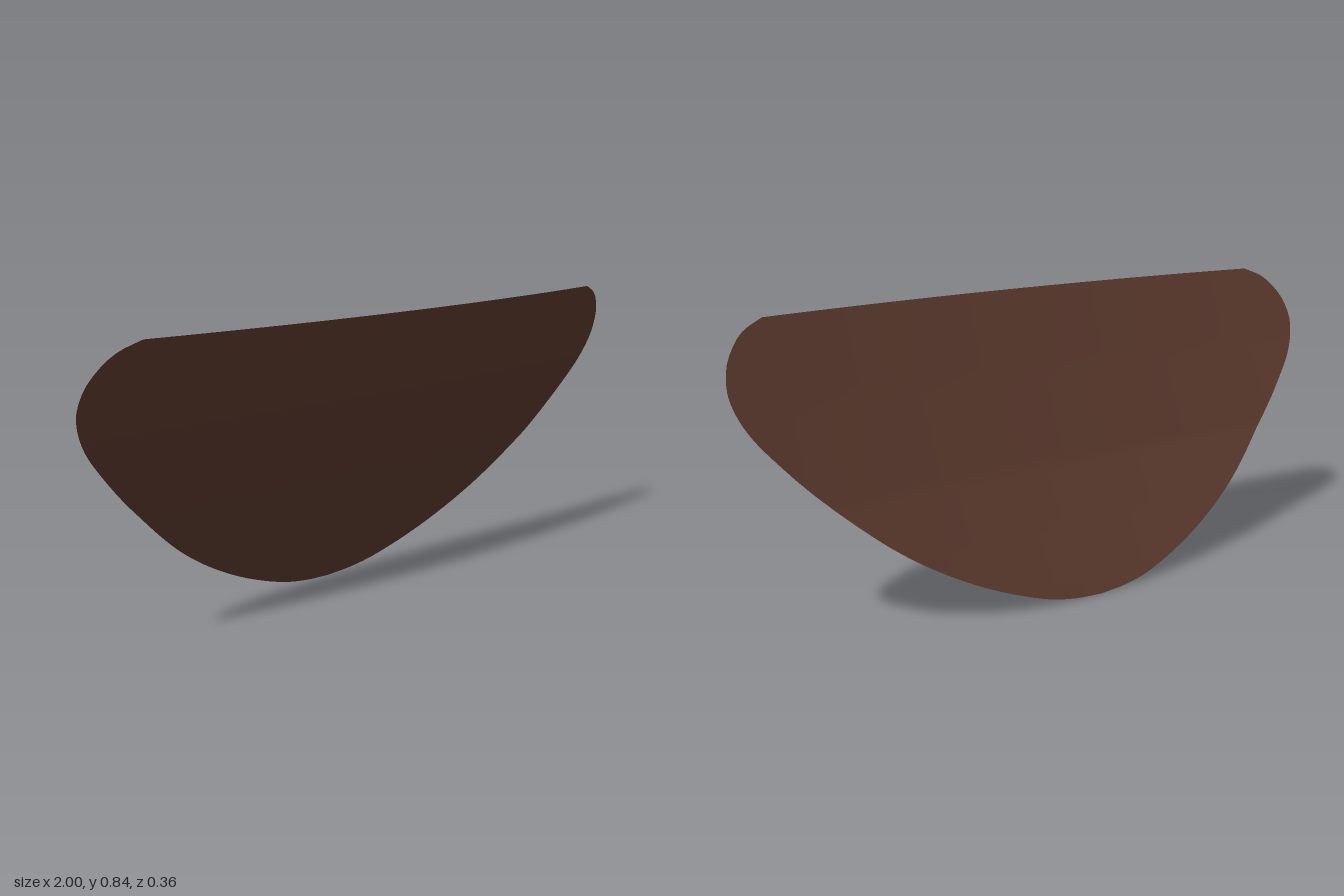
import * as THREE from 'three';

// Half outline from the bottom tip up to the flat top edge: [half width, height]
const OUTLINE = [
  [0, 0.003], [0.1, 0.01], [0.2, 0.03], [0.4, 0.105], [0.6, 0.22], [0.8, 0.39],
  [0.9, 0.495], [0.96, 0.57], [0.99, 0.63], [1, 0.68], [0.988, 0.74],
  [0.955, 0.79], [0.92, 0.82], [0.86, 0.845],
];

// Forward lean along the centre line: [height, z]
const LEAN = [[0, -0.182], [0.05, -0.157], [0.2, -0.08], [0.36, 0], [0.62, 0.1], [0.845, 0.18]];

function leanAt(y) {
  let i = 1;
  while (i < LEAN.length - 1 && y > LEAN[i][0]) i++;
  const [y0, z0] = LEAN[i - 1], [y1, z1] = LEAN[i];
  return z0 + (z1 - z0) * (y - y0) / (y1 - y0);
}

// Curved sheet: rows across the outline, bowed back towards both sides
function sheetGeometry(rows = 64, columns = 40) {
  const curve = new THREE.CatmullRomCurve3(
    OUTLINE.map(([x, y]) => new THREE.Vector3(x, y, 0)), false, 'centripetal');
  const geometry = new THREE.PlaneGeometry(2, 1, columns, rows);
  const position = geometry.attributes.position;
  for (let r = 0; r <= rows; r++) {
    // Plane rows run from the top down
    const edge = curve.getPointAt(1 - r / rows);
    const y = Math.min(edge.y, 0.845);
    for (let c = 0; c <= columns; c++) {
      const x = edge.x * (2 * c / columns - 1);
      position.setXYZ(r * (columns + 1) + c, x, y, leanAt(y) - 0.075 * x * x);
    }
  }
  geometry.computeVertexNormals();
  return geometry;
}

export function createModel() {
  const group = new THREE.Group();
  group.name = 'curvedPanel';
  const material = new THREE.MeshStandardMaterial({ color: 0x5c3a2e, side: THREE.DoubleSide });
  const panel = new THREE.Mesh(sheetGeometry(), material);
  panel.name = 'panel';
  group.add(panel);
  return group;
}
